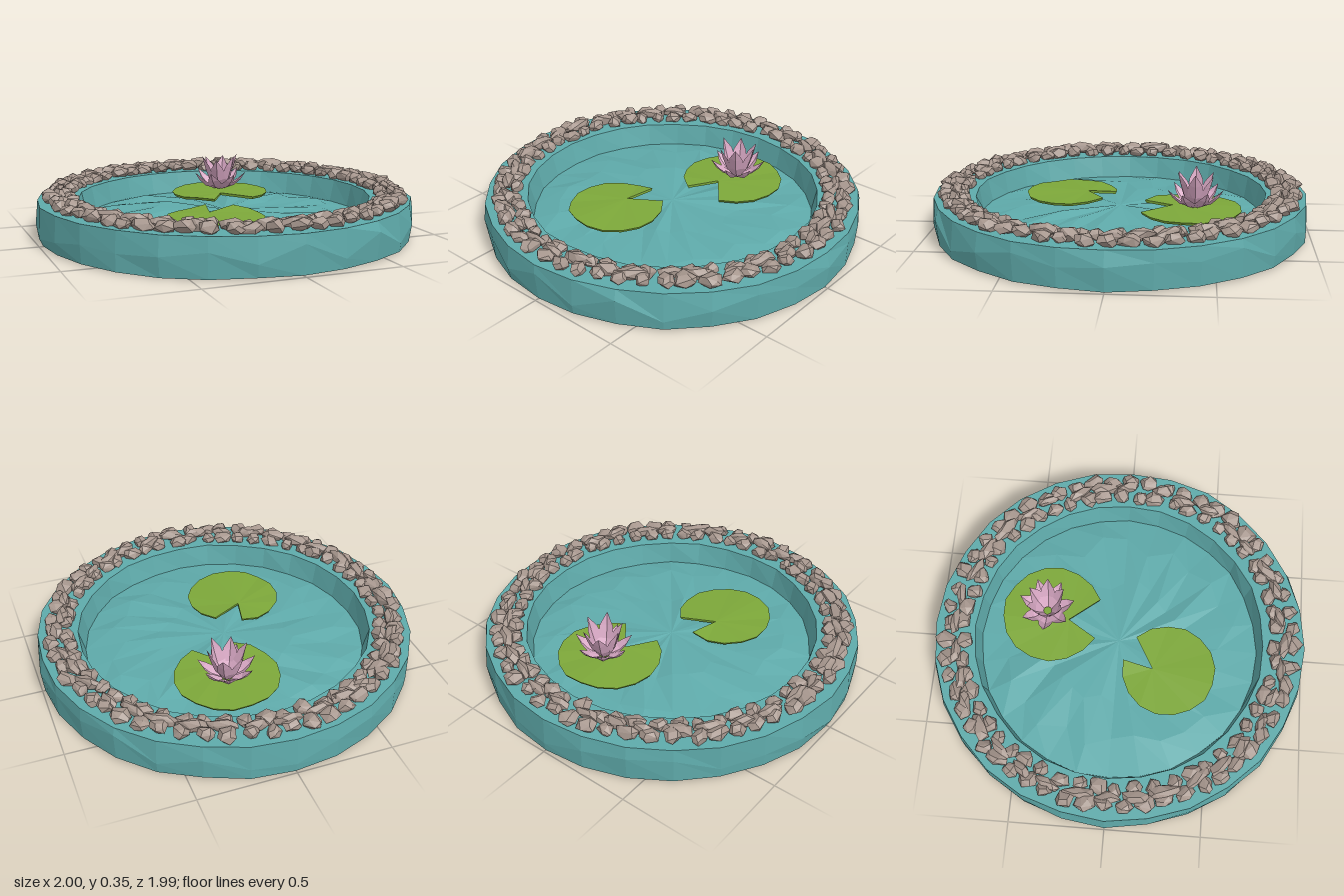
import * as THREE from 'three';
import { ConvexGeometry } from 'three/addons/geometries/ConvexGeometry.js';

// Small seeded random source
let seed = 7;
const rnd = () => {
  seed = (seed * 16807) % 2147483647;
  return seed / 2147483647;
};
const spread = (a) => (rnd() * 2 - 1) * a;
const hash = (a, b) => {
  const s = Math.sin(a * 12.9898 + b * 78.233) * 43758.5453;
  return (s - Math.floor(s)) * 2 - 1;
};

// Split faces so each keeps its own flat normal
function facet(geo) {
  const g = geo.index ? geo.toNonIndexed() : geo;
  g.computeVertexNormals();
  return g;
}

function mesh(name, geo, mat) {
  const m = new THREE.Mesh(geo, mat);
  m.name = name;
  return m;
}

// Basin with raised rim and an uneven water surface
function basinGeometry() {
  const profile = [
    [0, 0.005], [0.985, 0.005], [0.995, 0.1], [0.985, 0.2], [0.77, 0.2], [0.745, 0.08],
    [0.58, 0.1], [0.34, 0.115], [0, 0.12],
  ].map(([r, y]) => new THREE.Vector2(r, y));
  const sides = 28, n = profile.length;
  const geo = new THREE.LatheGeometry(profile, sides);
  const p = geo.attributes.position;
  for (let i = 0; i < p.count; i++) {
    const ring = i % n, side = Math.floor(i / n) % sides;
    const h = hash(side + 1, ring + 1), k = hash(side + 9, ring + 5);
    const inner = ring > 5 && ring < n - 1;
    const scale = 1 + h * (inner ? 0.1 : 0.006);
    p.setX(i, p.getX(i) * scale);
    p.setZ(i, p.getZ(i) * scale);
    if (inner) p.setY(i, p.getY(i) + k * 0.015);
    if (ring === 1) p.setY(i, 0.005 + k * 0.005);
    if (ring === 2) p.setY(i, p.getY(i) + k * 0.06);
  }
  return facet(geo);
}

// Chipped stone: hull of scattered points on a squashed sphere
function stoneGeometry(length, height, width) {
  const pts = [];
  for (let i = 0; i < 15; i++) {
    const y = 1 - (2 * (i + 0.5)) / 15;
    const a = i * 2.4 + spread(0.45), r = Math.sqrt(1 - y * y), s = 0.9 + rnd() * 0.22;
    pts.push(new THREE.Vector3(Math.cos(a) * r * length * s, y * height * s, Math.sin(a) * r * width * s));
  }
  return facet(new ConvexGeometry(pts));
}

function stoneRow(name, radius, count, width, y, mat) {
  const row = new THREE.Group();
  row.name = name;
  for (let i = 0; i < count; i++) {
    const a = ((i + spread(0.15)) / count) * Math.PI * 2;
    const len = ((Math.PI * radius) / count) * (1 + spread(0.22));
    const stone = mesh('stone', stoneGeometry(len, 0.03 + rnd() * 0.008, width * (1 + spread(0.2))), mat);
    const r = radius + spread(0.012);
    stone.position.set(Math.sin(a) * r, y + spread(0.006), Math.cos(a) * r);
    stone.rotation.set(0, a + spread(0.35), spread(0.15));
    row.add(stone);
  }
  return row;
}

// Round pad with a wedge cut to an apex; angles run from +x towards +z
function padGeometry(radius, from, to, apex, notchLift) {
  const rim = [];
  const steps = 15, y = 0.148;
  for (let i = 0; i <= steps; i++) {
    const a = to + ((from + Math.PI * 2 - to) * i) / steps;
    const r = radius * (1 + hash(i, 3) * 0.015);
    const lift = i === 0 || i === steps ? notchLift : hash(i, 8) * 0.005;
    rim.push([Math.cos(a) * r, y + lift, Math.sin(a) * r]);
  }
  const tip = [apex[0], y + 0.004, apex[1]];
  const low = ([x, h, z]) => [x * 0.97, h - 0.014, z * 0.97];
  const v = [];
  for (let i = 0; i < steps; i++) {
    const a = rim[i], b = rim[i + 1];
    v.push(tip, b, a, low(tip), low(a), low(b));
    v.push(a, b, low(b), a, low(b), low(a));
  }
  for (const [a, b] of [[tip, rim[0]], [rim[steps], tip]]) {
    v.push(a, b, low(b), a, low(b), low(a));
  }
  const g = new THREE.BufferGeometry();
  g.setAttribute('position', new THREE.Float32BufferAttribute(v.flat(), 3));
  return facet(g);
}

// Cupped pointed petal growing along +z, from rows of [reach, height, half width]
function petalGeometry(rows) {
  const v = [];
  const cross = ([z, y, w]) => [[-w, y + w * 0.25, z - w * 0.2], [0, y, z + w * 0.2], [w, y + w * 0.25, z - w * 0.2]];
  for (let i = 0; i < rows.length - 1; i++) {
    const a = cross(rows[i]), b = cross(rows[i + 1]);
    for (let j = 0; j < 2; j++) v.push(a[j], b[j + 1], a[j + 1], a[j], b[j], b[j + 1]);
  }
  const g = new THREE.BufferGeometry();
  g.setAttribute('position', new THREE.Float32BufferAttribute(v.flat(), 3));
  return facet(g);
}

export function createModel() {
  const teal = new THREE.MeshStandardMaterial({ color: 0x5fabab });
  const stoneGrey = new THREE.MeshStandardMaterial({ color: 0xa8988f });
  const leafGreen = new THREE.MeshStandardMaterial({ color: 0x7da83a });
  const pink = new THREE.MeshStandardMaterial({ color: 0xd8a8c4, side: THREE.DoubleSide });
  teal.name = 'teal';
  stoneGrey.name = 'stone grey';
  leafGreen.name = 'leaf green';
  pink.name = 'petal pink';

  const pond = new THREE.Group();
  pond.name = 'pond';
  pond.add(mesh('basin', basinGeometry(), teal));

  // Stones around the rim
  pond.add(stoneRow('innerStones', 0.83, 54, 0.042, 0.22, stoneGrey));
  pond.add(stoneRow('outerStones', 0.915, 56, 0.046, 0.222, stoneGrey));
  pond.add(stoneRow('topStones', 0.872, 36, 0.032, 0.232, stoneGrey));

  // Lily pads
  const backPad = mesh('backPad', padGeometry(0.272, 1.19, 2.05, [-0.03, 0.09], 0), leafGreen);
  backPad.position.set(0.12, 0, -0.37);
  backPad.material.side = THREE.DoubleSide;
  const frontPad = mesh('frontPad', padGeometry(0.25, -1.42, -0.82, [0.0, -0.085], 0.012), leafGreen);
  frontPad.position.set(-0.155, 0, 0.275);
  pond.add(backPad, frontPad);

  // Flower: a spreading outer ring and an upright inner ring of petals
  const flower = new THREE.Group();
  flower.name = 'flower';
  const rings = [
    ['outerPetal', 7, 0.2, [[0.025, 0.005, 0.015], [0.075, 0.025, 0.042], [0.115, 0.06, 0.03], [0.148, 0.105, 0.001]]],
    ['innerPetal', 6, 0.5, [[0.02, 0.005, 0.015], [0.055, 0.06, 0.042], [0.08, 0.125, 0.034], [0.105, 0.19, 0.001]]],
  ];
  for (const [name, count, turn, rows] of rings) {
    const geo = petalGeometry(rows);
    for (let i = 0; i < count; i++) {
      const petal = mesh(name, geo, pink);
      petal.rotation.y = turn + (i / count) * Math.PI * 2;
      petal.scale.y = 1 + hash(i, count) * 0.06;
      flower.add(petal);
    }
  }
  flower.position.set(0.13, 0.152, -0.4);
  pond.add(flower);
  return pond;
}
